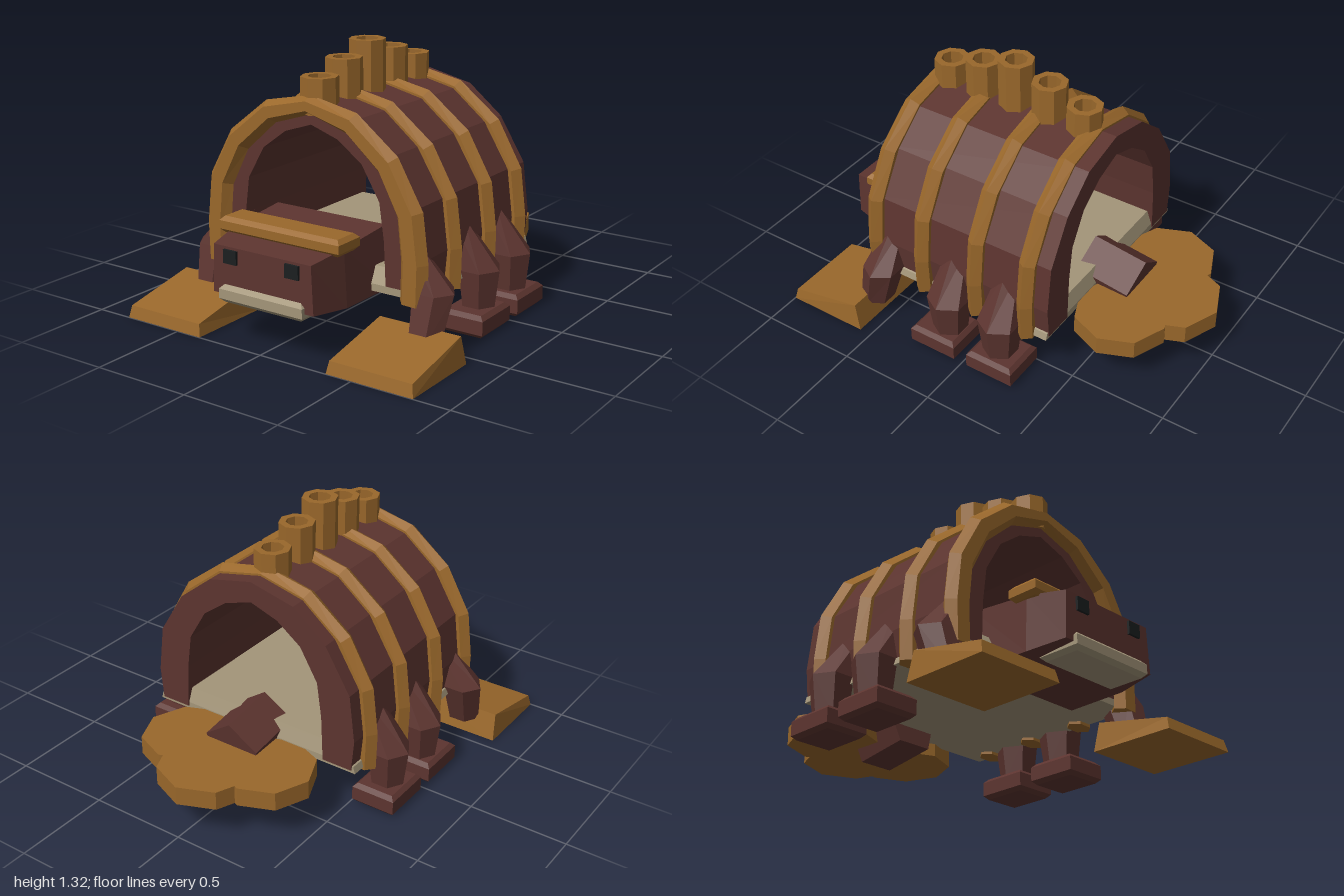
import * as THREE from 'three';

const mat = (color, double) => new THREE.MeshStandardMaterial({
  color, flatShading: true, side: double ? THREE.DoubleSide : THREE.FrontSide });
const maroon = mat(0x5c342f), orange = mat(0x9a682b), orangeOpen = mat(0x9a682b, true);
const beige = mat(0xa39579), black = mat(0x1b1f20);

// Skin a list of equal-sized rings (counter-clockwise about the direction of travel), with caps
function loft(rings) {
  const pos = [], n = rings[0].length, last = rings.length - 1;
  const tri = (...p) => p.forEach(q => pos.push(...q));
  for (let r = 0; r < last; r++) {
    for (let i = 0; i < n; i++) {
      const j = (i + 1) % n, a = rings[r], b = rings[r + 1];
      tri(a[i], a[j], b[j]);
      tri(a[i], b[j], b[i]);
    }
  }
  for (let i = 1; i < n - 1; i++) {
    tri(rings[0][0], rings[0][i + 1], rings[0][i]);
    tri(rings[last][0], rings[last][i], rings[last][i + 1]);
  }
  const g = new THREE.BufferGeometry();
  g.setAttribute('position', new THREE.Float32BufferAttribute(pos, 3));
  g.computeVertexNormals();
  return g;
}

// Horizontal rectangle ring; back and front may sit at different heights
const rect = (x, z0, z1, yBack, yFront, cx = 0) => [
  [cx + x, yFront, z1], [cx + x, yBack, z0], [cx - x, yBack, z0], [cx - x, yFront, z1]];

// Box with chamfered top and bottom rims
function bevelBox(x, y0, y1, z0, z1, b, cx = 0) {
  const ring = (y, s) => rect(x - s, z0 + s, z1 - s, y, y, cx);
  return loft([ring(y0, b), ring(y0 + b, 0), ring(y1 - b, 0), ring(y1, b)]);
}

// Horizontal polygon ring for legs
function ringXZ(cx, y, cz, rx, rz, n = 6) {
  return Array.from({ length: n }, (_, i) => {
    const a = (i + 0.5) / n * Math.PI * 2;
    return [cx + rx * Math.sin(a), y, cz + rz * Math.cos(a)];
  });
}

// Mirror a half arch, given from the foot up to the apex
const fullArch = half => [...half, ...half.slice(0, -1).reverse().map(([x, y]) => [-x, y])];

// Arched rib with a six-sided section
function ribGeometry(z) {
  const path = fullArch([[0.56, 0.24], [0.565, 0.43], [0.54, 0.65], [0.425, 0.86], [0.23, 1.02], [0, 1.078]]);
  return loft(path.map(([x, y], k) => {
    const p = path[Math.max(k - 1, 0)], q = path[Math.min(k + 1, path.length - 1)];
    const dx = q[0] - p[0], dy = q[1] - p[1], len = Math.hypot(dx, dy);
    const nx = dy / len, ny = -dx / len;
    const a = 0.045 + 0.027 * Math.abs(nx);
    return Array.from({ length: 6 }, (_, i) => {
      const t = i / 6 * Math.PI * 2, r = a * Math.cos(t);
      return [x + nx * r, y + ny * r, z - 0.05 * Math.sin(t)];
    });
  }));
}

export function createModel() {
  const model = new THREE.Group();
  const add = (name, geo, material, parent = model) => {
    const m = new THREE.Mesh(geo, material);
    m.name = name;
    parent.add(m);
    return m;
  };

  // Hollow arched shell
  const outer = fullArch([[0.57, 0.27], [0.585, 0.43], [0.555, 0.67], [0.42, 0.89], [0.24, 1.035], [0, 1.09]]);
  const inner = fullArch([[0.41, 0.27], [0.40, 0.5], [0.375, 0.68], [0.28, 0.84], [0.15, 0.935], [0, 0.985]]);
  const arch = new THREE.Shape([...outer, ...inner.reverse()].map(p => new THREE.Vector2(...p)));
  const shell = new THREE.ExtrudeGeometry(arch, { depth: 1.01, bevelEnabled: false });
  add('shell', shell.translate(0, 0, -0.41), maroon);

  // Floor with sloping sides
  add('floor', loft([
    rect(0.59, -0.405, 0.6, 0.255, 0.255), rect(0.58, -0.405, 0.6, 0.29, 0.29),
    rect(0.42, -0.38, 0.56, 0.365, 0.365)]), beige);

  // Ribs over the shell
  for (const z of [0.6, 0.315, 0, -0.29]) add('rib', ribGeometry(z), orange);

  // Hollow chimneys along the ridge
  [[0.53, 1.2], [0.34, 1.26], [0.15, 1.32], [-0.04, 1.26], [-0.235, 1.2]].forEach(([z, top]) => {
    const profile = [[0.055, 1.03], [0.055, top], [0.09, top], [0.09, 1.03]].map(p => new THREE.Vector2(...p));
    add('chimney', new THREE.LatheGeometry(profile, 8), orangeOpen).position.z = z;
  });

  // Head, tapering to the face
  add('head', loft([
    [[0.315, 0.53, 0.46], [-0.315, 0.53, 0.46], [-0.34, 0.23, 0.46], [0.34, 0.23, 0.46]],
    [[0.31, 0.5, 0.78], [-0.31, 0.5, 0.78], [-0.325, 0.225, 0.78], [0.325, 0.225, 0.78]],
    [[0.275, 0.47, 0.975], [-0.275, 0.47, 0.975], [-0.285, 0.24, 0.975], [0.285, 0.24, 0.975]]]), maroon);
  add('brow', bevelBox(0.34, 0.48, 0.56, 0.7, 0.86, 0.02), orange);
  add('jaw', bevelBox(0.237, 0.202, 0.288, 0.78, 0.995, 0.02), beige);

  // Paired parts, mirrored across x
  for (const side of [1, -1]) {
    const half = new THREE.Group();
    half.name = side > 0 ? 'leftSide' : 'rightSide';
    half.scale.x = side;
    model.add(half);

    add('eye', new THREE.BoxGeometry(0.075, 0.065, 0.03), black, half).position.set(0.175, 0.425, 0.972);

    // Front leg on a wedge-shaped paw
    add('frontLeg', loft([
      ringXZ(0.62, 0.08, 0.6, 0.085, 0.085), ringXZ(0.625, 0.3, 0.54, 0.11, 0.1),
      ringXZ(0.47, 0.5, 0.535, 0.075, 0.05)]), maroon, half);
    add('frontPaw', loft([
      rect(0.226, 0.565, 0.998, 0, 0, 0.59), rect(0.215, 0.595, 0.985, 0.14, 0.06, 0.59)]), orange, half);

    // Middle and rear legs on block feet
    for (const z of [0.135, -0.165]) {
      add('leg', loft([
        ringXZ(0.625, 0.09, z, 0.085, 0.085), ringXZ(0.625, 0.29, z, 0.11, 0.11),
        ringXZ(0.47, 0.53, z + 0.015, 0.075, 0.055)]), maroon, half);
      const foot = z > 0 ? 0.165 : -0.17;
      add('foot', bevelBox(0.115, 0, 0.11, foot - 0.13, foot + 0.13, 0.02, 0.625), maroon, half);
    }
  }

  // Five-sided tail stub, pointing back and slightly down
  const stub = new THREE.CylinderGeometry(0.159, 0.159, 0.29, 5);
  stub.rotateX(-Math.PI / 2 - 0.14);
  // Keep the single ridge underneath
  const tail = add('tail', stub, maroon);
  tail.position.set(0, 0.272, -0.436);

  // Tail fan of three overlapping octagons
  for (const [x, z, r] of [[0, -0.75, 0.25], [0.235, -0.61, 0.235], [-0.235, -0.61, 0.235]]) {
    add('tailFan', new THREE.CylinderGeometry(r, r, 0.095, 8), orange).position.set(x, 0.2375, z);
  }
  return model;
}
